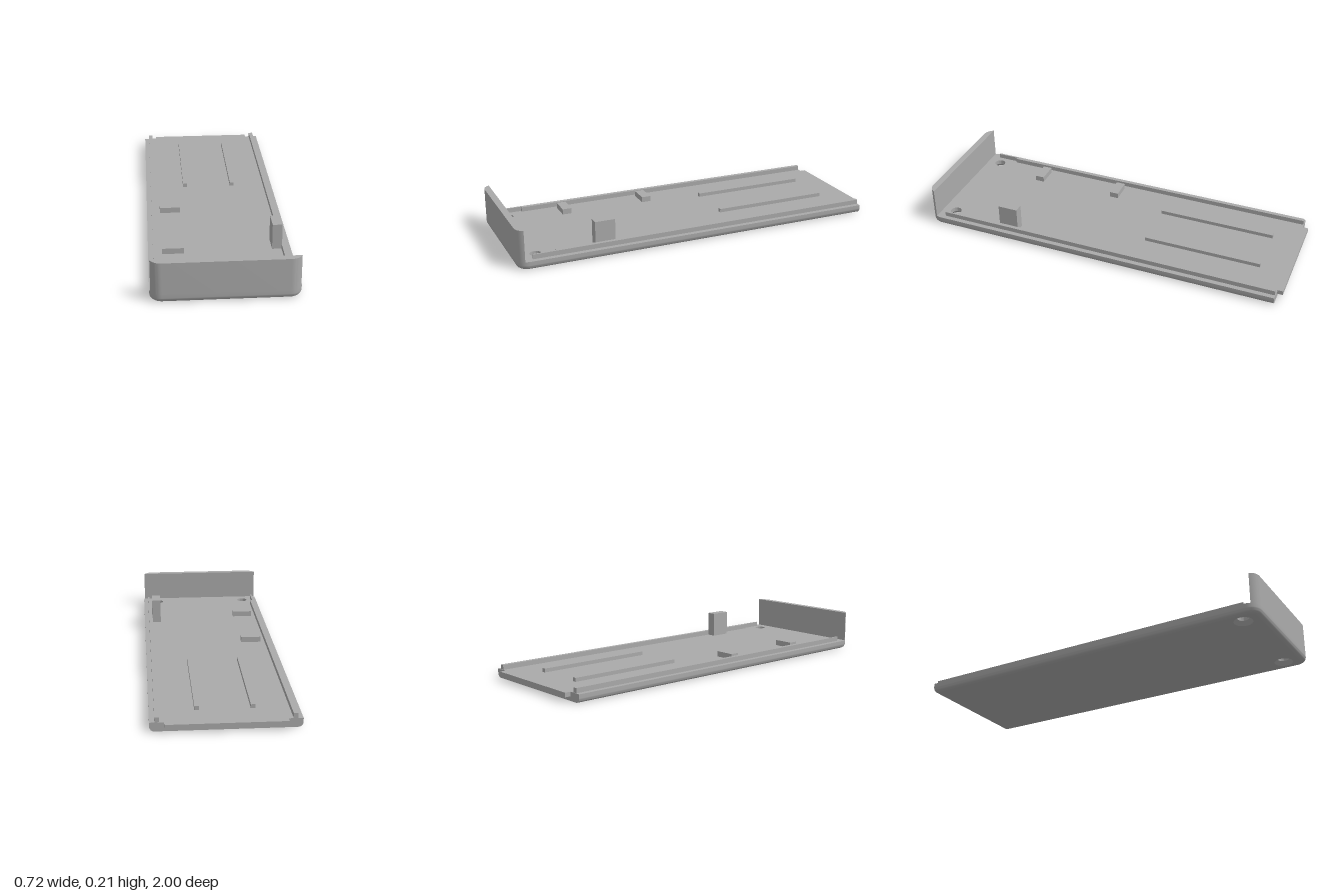
import * as THREE from 'three';
import { toCreasedNormals } from 'three/addons/utils/BufferGeometryUtils.js';

const W = 0.36, BACK = -0.97, FRONT = 1, FLOOR = 0.045; // tray extents
const CORNER = 0.06, ROUND = 0.025;                      // plan corner and bottom edge radii
const HOLE_X = 0.27, HOLE_Z = 0.89, HOLE_R = 0.03, SINK_R = 0.048;

// Front edge in plan, running from +x to -x round both corners; d is the inset
function frontEdge(d, startAngle = 0) {
  const pts = [], r = CORNER - d, n = 10;
  for (const side of [1, -1]) {
    for (let i = 0; i <= n; i++) {
      const k = side > 0 ? i / n : 1 - i / n;
      const a = startAngle + (Math.PI / 2 - startAngle) * k;
      pts.push([side * (W - CORNER + r * Math.cos(a)), FRONT - CORNER + r * Math.sin(a)]);
    }
  }
  return pts;
}

const trayOutline = (d) => [[W - d, BACK], ...frontEdge(d), [-(W - d), BACK]];

// Shape in the plan; flip = -1 for faces turned upward, 1 for faces turned downward
function planShape(points, flip, holeR = 0) {
  const shape = new THREE.Shape(points.map(([x, z]) => new THREE.Vector2(x, flip * z)));
  if (holeR) for (const s of [-1, 1]) {
    shape.holes.push(new THREE.Path().absarc(s * HOLE_X, flip * HOLE_Z, holeR, 0, Math.PI * 2, true));
  }
  return shape;
}

// Tray rim: stacked outlines, rounded under the sides and front
function rimGeometry() {
  const levels = [];
  for (let k = 0; k <= 6; k++) {
    const t = (k / 6) * Math.PI / 2;
    levels.push([ROUND * (1 - Math.sin(t)), ROUND * (1 - Math.cos(t))]);
  }
  levels.push([0, FLOOR]);
  const pos = [], index = [];
  let n = 0;
  for (const [d, y] of levels) {
    const loop = trayOutline(d);
    n = loop.length;
    for (const [x, z] of loop) pos.push(x, y, z);
  }
  for (let l = 0; l < levels.length - 1; l++) {
    for (let i = 0; i < n; i++) {
      const a = l * n + i, b = l * n + (i + 1) % n;
      index.push(a, a + n, b, b, a + n, b + n);
    }
  }
  const g = new THREE.BufferGeometry();
  g.setAttribute('position', new THREE.Float32BufferAttribute(pos, 3));
  g.setIndex(index);
  return toCreasedNormals(g, 0.6);
}

export function createModel() {
  const model = new THREE.Group();
  const grey = new THREE.MeshStandardMaterial({ color: 0xaaaaaa, side: THREE.DoubleSide });
  grey.name = 'grey plastic';

  const add = (name, geometry, parent = model) => {
    const mesh = new THREE.Mesh(geometry, grey);
    mesh.name = name;
    parent.add(mesh);
    return mesh;
  };
  // Box given by its limits on each axis
  const box = (name, x0, x1, y0, y1, z0, z1, parent) =>
    add(name, new THREE.BoxGeometry(x1 - x0, y1 - y0, z1 - z0), parent)
      .position.set((x0 + x1) / 2, (y0 + y1) / 2, (z0 + z1) / 2);

  // Tray with two countersunk screw holes
  const tray = new THREE.Group();
  tray.name = 'tray';
  model.add(tray);
  add('trayRim', rimGeometry(), tray);
  add('trayFloor', new THREE.ShapeGeometry(planShape(trayOutline(0), -1, HOLE_R), 24)
    .rotateX(-Math.PI / 2).translate(0, FLOOR, 0), tray);
  add('trayUnderside', new THREE.ShapeGeometry(planShape(trayOutline(ROUND), 1, SINK_R), 24)
    .rotateX(Math.PI / 2), tray);
  const holeProfile = [[HOLE_R, FLOOR], [HOLE_R, 0.02], [SINK_R, 0]]
    .map(([r, y]) => new THREE.Vector2(r, y));
  for (const s of [-1, 1]) {
    add('screwHole', toCreasedNormals(new THREE.LatheGeometry(holeProfile, 48), 0.5), tray)
      .position.set(s * HOLE_X, 0, HOLE_Z);
  }

  // Upright front wall following the rounded corners
  const wallStart = Math.asin((CORNER - 0.035) / CORNER);
  const wall = new THREE.ExtrudeGeometry(planShape(frontEdge(0, wallStart), -1),
    { depth: 0.21 - FLOOR, bevelEnabled: false });
  add('frontWall', toCreasedNormals(wall.rotateX(-Math.PI / 2).translate(0, FLOOR, 0), 0.6));

  // Rear locating tongue
  box('rearTongue', -0.29, 0.29, 0.022, FLOOR, -1, BACK);

  // Side rails, thinner towards the front, and floor ribs
  for (const s of [-1, 1]) {
    const rail = new THREE.Group();
    rail.name = s > 0 ? 'leftRail' : 'rightRail';
    model.add(rail);
    const span = (a, b) => (s > 0 ? [a, b] : [-b, -a]);
    box('railBody', ...span(0.313, 0.335), FLOOR, 0.07, -0.967, 0.8, rail);
    box('railTip', ...span(0.326, 0.335), FLOOR, 0.07, 0.8, 0.92, rail);
    const ribX = s > 0 ? 0.132 : -0.138;
    box('floorRib', ribX - 0.011, ribX + 0.011, FLOOR, 0.065, -0.84, -0.2);
  }

  // Low support pads and the tall stop block
  for (const z of [0.11, 0.58]) box('supportPad', -0.29, -0.18, FLOOR, 0.075, z - 0.025, z + 0.025);
  box('stopBlock', 0.265, 0.315, FLOOR, 0.18, 0.48, 0.588);

  return model;
}
